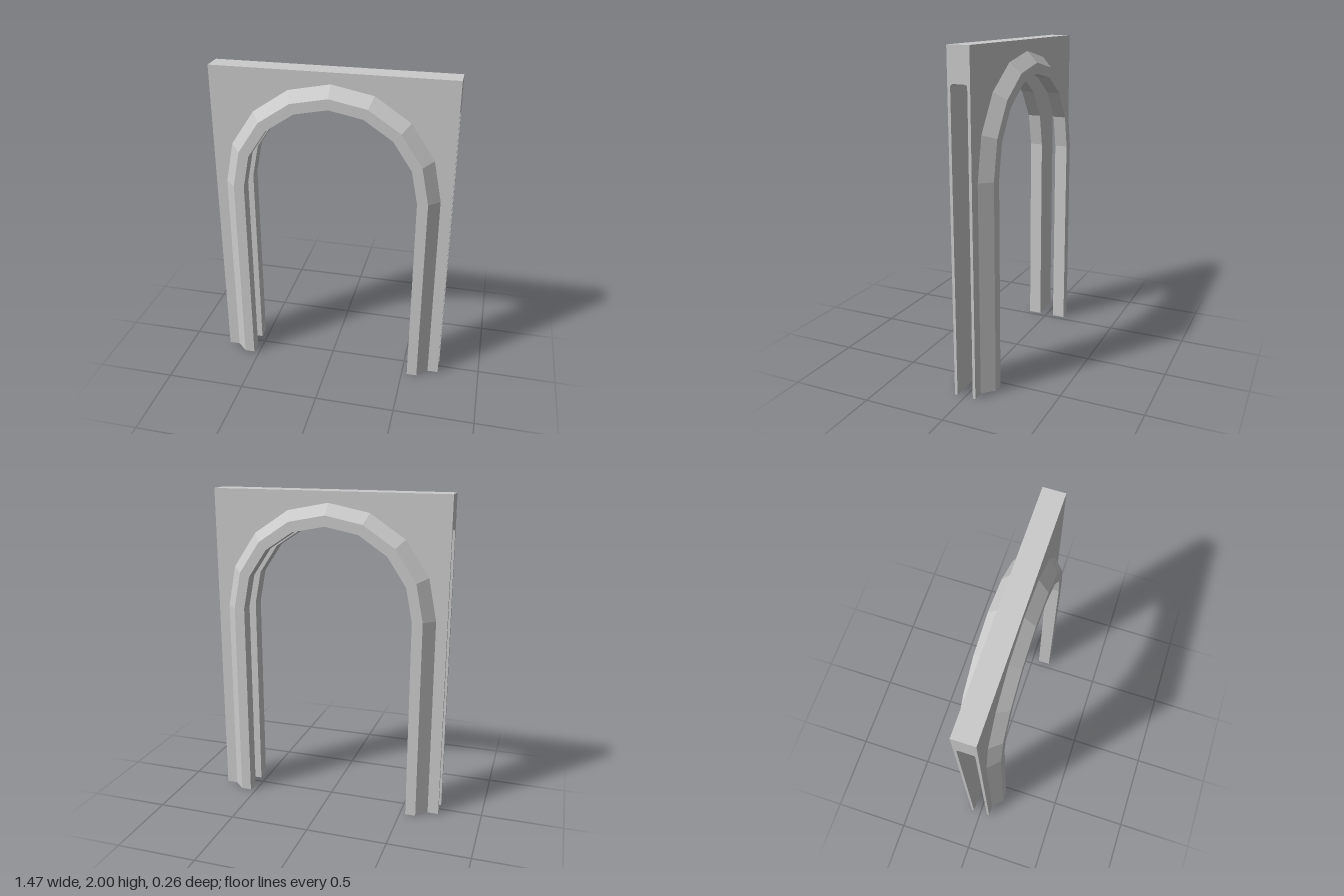
import * as THREE from 'three';

const HALF_W = 0.735, TOP = 2;        // wall half width and height
const WALL_Z = 0.067, SLOT_Z = 0.05;  // wall face and slot half depths
const SPRING = 1.265;                 // height where the arch starts
const R_OUT = 0.667, R_MID = 0.6, R_IN = 0.535, TRIM_Z = 0.132;
const CROWN = SPRING + R_IN, SEGMENTS = 8, FILLET = 0.02;

const material = new THREE.MeshStandardMaterial({ color: 0xcccccc, flatShading: true });

function add(parent, geometry, name) {
  const mesh = new THREE.Mesh(geometry, material);
  mesh.name = name;
  parent.add(mesh);
  return mesh;
}

const arcPoint = (r, i) => {
  const a = (i / SEGMENTS) * Math.PI;
  return [r * Math.cos(a), SPRING + r * Math.sin(a)];
};

// One side of the thin wall panel, from the foot up to the crown of the arch
function panelGeometry(side) {
  const pts = [[HALF_W, 0], [HALF_W, CROWN]];
  for (let i = SEGMENTS / 2; i >= 0; i--) pts.push(arcPoint(R_IN, i));
  pts.push([R_IN, 0]);
  const shape = new THREE.Shape(pts.map(([x, y]) => new THREE.Vector2(side * x, y)));
  const geo = new THREE.ExtrudeGeometry(shape, { depth: WALL_Z - SLOT_Z, bevelEnabled: false });
  return geo.translate(0, 0, SLOT_Z);
}

// Bevelled moulding swept up one leg, around the arch and down the other leg
function trimGeometry() {
  const profile = [[R_OUT, WALL_Z], [R_MID, TRIM_Z], [R_IN, TRIM_Z], [R_IN, WALL_Z]];
  const n = profile.length, rows = SEGMENTS + 3;
  const positions = [], index = [];
  for (let row = 0; row < rows; row++) {
    for (const [r, z] of profile) {
      const [x, y] = arcPoint(r, Math.min(Math.max(row - 1, 0), SEGMENTS));
      positions.push(x, row === 0 || row === rows - 1 ? 0 : y, z);
    }
  }
  for (let row = 0; row < rows - 1; row++) {
    for (let j = 0; j < n - 1; j++) {
      const a = row * n + j, b = a + n;
      index.push(a, b, a + 1, b, b + 1, a + 1);
    }
  }
  // Feet
  const e = (rows - 1) * n;
  index.push(0, 1, 2, 0, 2, 3, e, e + 2, e + 1, e, e + 3, e + 2);
  const geo = new THREE.BufferGeometry();
  geo.setAttribute('position', new THREE.Float32BufferAttribute(positions, 3));
  geo.setIndex(index);
  const flat = geo.toNonIndexed();
  flat.computeVertexNormals();
  return flat;
}

// Small rounded corner under the header, along the top of the slot
function filletGeometry() {
  const start = 0.11, shape = new THREE.Shape();
  shape.moveTo(SLOT_Z, CROWN);
  shape.lineTo(SLOT_Z - FILLET, CROWN);
  shape.quadraticCurveTo(SLOT_Z, CROWN, SLOT_Z, CROWN - FILLET);
  const geo = new THREE.ExtrudeGeometry(shape, { depth: HALF_W - start, bevelEnabled: false, curveSegments: 4 });
  return geo.rotateY(-Math.PI / 2).translate(HALF_W, 0, 0);
}

export function createModel() {
  const model = new THREE.Group();
  model.name = 'archway';

  // Solid header above the slot
  const header = new THREE.BoxGeometry(HALF_W * 2, TOP - CROWN, WALL_Z * 2);
  add(model, header.translate(0, (TOP + CROWN) / 2, 0), 'header');

  // Front and back shells, separated by the slot
  for (const name of ['frontShell', 'backShell']) {
    const shell = new THREE.Group();
    shell.name = name;
    add(shell, panelGeometry(1), 'leftPanel');
    add(shell, panelGeometry(-1), 'rightPanel');
    add(shell, trimGeometry(), 'archTrim');
    add(shell, filletGeometry(), 'leftSlotFillet');
    add(shell, filletGeometry().translate(-HALF_W - 0.11, 0, 0), 'rightSlotFillet');
    if (name === 'backShell') shell.rotation.y = Math.PI;
    model.add(shell);
  }
  return model;
}
